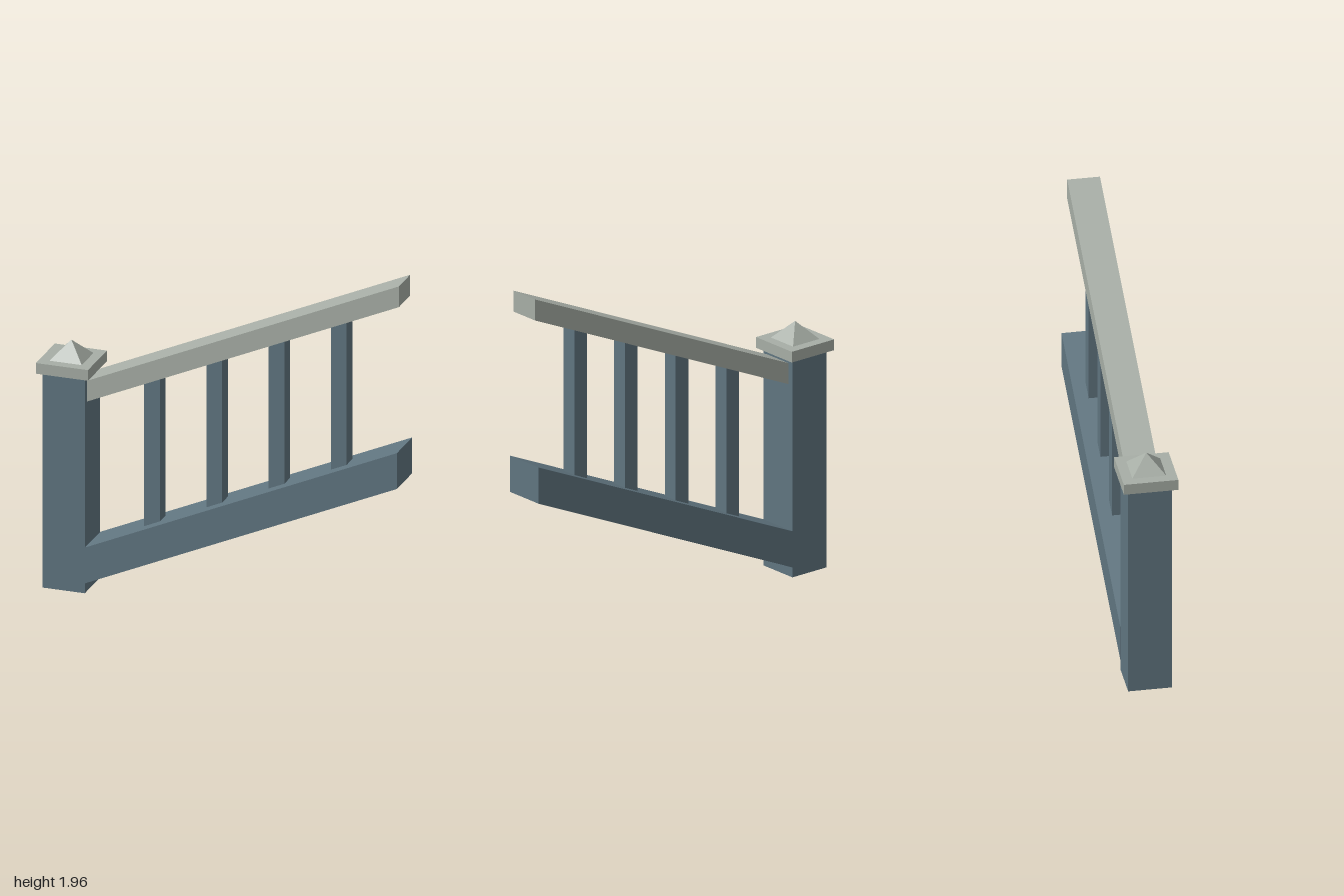
import * as THREE from 'three';

export function createModel() {
  const model = new THREE.Group();
  model.name = 'stairRailing';

  const paintedBlue = new THREE.MeshStandardMaterial({ color: 0x607580, flatShading: true });
  paintedBlue.name = 'slate blue';
  const paleGrey = new THREE.MeshStandardMaterial({ color: 0xa7aea6, flatShading: true });
  paleGrey.name = 'pale grey';

  const postFace = -0.735, farEnd = 1, postX = -0.853;
  const slope = 0.772 / (farEnd - postFace);
  // Height of a sloping line that starts at y0 on the post face
  const lineAt = (y0, x) => y0 + slope * (x - postFace);

  function add(name, geometry, material, x = 0, y = 0) {
    const mesh = new THREE.Mesh(geometry, material);
    mesh.name = name;
    mesh.position.set(x, y, 0);
    model.add(mesh);
    return mesh;
  }

  // Bar with plumb ends whose bottom and top edges follow the stair slope
  function slopedBar(name, x0, x1, bottom, top, depth, material) {
    const shape = new THREE.Shape([
      new THREE.Vector2(x0, lineAt(bottom, x0)),
      new THREE.Vector2(x1, lineAt(bottom, x1)),
      new THREE.Vector2(x1, lineAt(top, x1)),
      new THREE.Vector2(x0, lineAt(top, x0)),
    ]);
    const geometry = new THREE.ExtrudeGeometry(shape, { depth, bevelEnabled: false });
    geometry.translate(0, 0, -depth / 2);
    return add(name, geometry, material);
  }

  // Newel post with square cap and pyramid finial
  add('newelPost', new THREE.BoxGeometry(0.234, 1.213, 0.234), paintedBlue, postX, 0.6065);
  add('postCap', new THREE.BoxGeometry(0.29, 0.06, 0.29), paleGrey, postX, 1.243);
  const finial = new THREE.ConeGeometry(0.09 * Math.SQRT2, 0.097, 4);
  finial.rotateY(Math.PI / 4);
  add('capFinial', finial, paleGrey, postX, 1.3215);

  // Sloping rails
  slopedBar('bottomRail', postFace, farEnd, 0.056, 0.258, 0.234, paintedBlue);
  slopedBar('handrail', postFace, farEnd, 1.07, 1.187, 0.174, paleGrey);

  // Evenly spaced balusters between the rails
  for (let i = 0; i < 4; i++) {
    const x = -0.389 + i * 0.3465;
    slopedBar(`baluster${i + 1}`, x - 0.0435, x + 0.0435, 0.258, 1.07, 0.087, paintedBlue);
  }

  return model;
}
